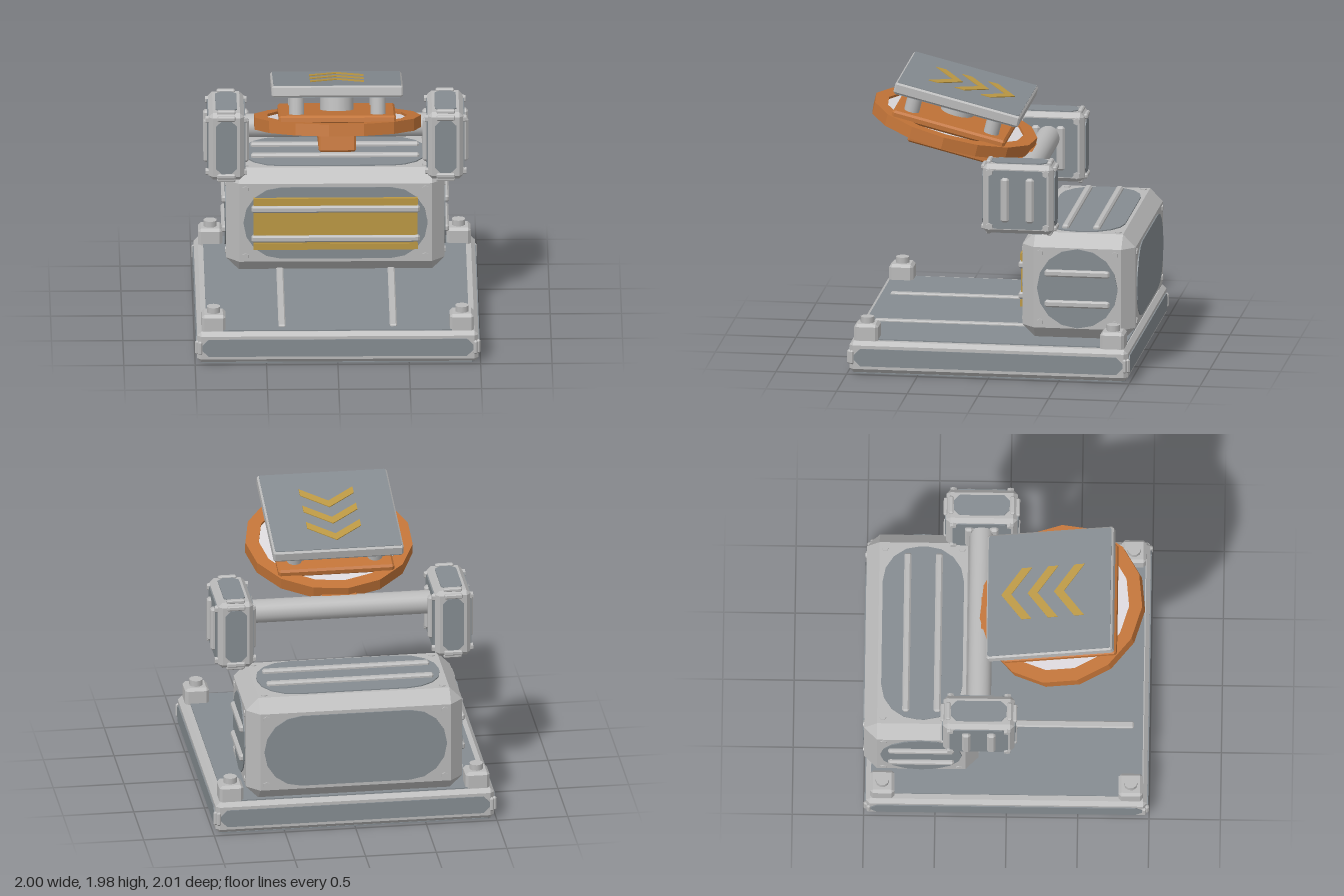
import * as THREE from 'three';
import { ConvexGeometry } from 'three/addons/geometries/ConvexGeometry.js';

const mat = (name, color) => {
  const m = new THREE.MeshStandardMaterial({ color });
  m.name = name;
  return m;
};

export function createModel() {
  const grey = mat('light grey metal', 0xbababa);
  const slate = mat('slate panel', 0x858c91);
  const orange = mat('orange paint', 0xc27438);
  const gold = mat('gold paint', 0xbb9844);
  const pale = mat('pale disc', 0xdcd8dc);

  const model = new THREE.Group();
  model.name = 'launchPad';

  const group = (parent, name, x = 0, y = 0, z = 0) => {
    const g = new THREE.Group();
    g.name = name;
    g.position.set(x, y, z);
    parent.add(g);
    return g;
  };
  const add = (parent, name, geo, material, x = 0, y = 0, z = 0) => {
    const m = new THREE.Mesh(geo, material);
    m.name = name;
    m.position.set(x, y, z);
    parent.add(m);
    return m;
  };

  // Box with flat chamfers on every edge
  const chamferBox = (w, h, d, c) => {
    const pts = [];
    for (const sx of [-1, 1]) for (const sy of [-1, 1]) for (const sz of [-1, 1]) {
      const x = w / 2, y = h / 2, z = d / 2;
      pts.push(new THREE.Vector3(sx * x, sy * (y - c), sz * (z - c)));
      pts.push(new THREE.Vector3(sx * (x - c), sy * y, sz * (z - c)));
      pts.push(new THREE.Vector3(sx * (x - c), sy * (y - c), sz * z));
    }
    return new ConvexGeometry(pts);
  };
  // Flat plate facing +z: corners cut (n = 1) or rounded with n steps
  const plate = (w, h, r, n, depth = 0.008) => {
    const s = new THREE.Shape(), pts = [];
    [[1, 1], [-1, 1], [-1, -1], [1, -1]].forEach(([sx, sy], q) => {
      for (let i = 0; i <= n; i++) {
        const a = (q + i / n) * Math.PI / 2;
        pts.push(new THREE.Vector2(sx * (w / 2 - r) + r * Math.cos(a), sy * (h / 2 - r) + r * Math.sin(a)));
      }
    });
    s.setFromPoints(pts);
    return new THREE.ExtrudeGeometry(s, { depth, bevelEnabled: false });
  };
  // Smooth or faceted post along y
  const post = (r, h, n) => {
    const g = new THREE.CylinderGeometry(r, r, h, n);
    return g;
  };
  // Small six-sided bolt facing +z
  const boltGeo = new THREE.CylinderGeometry(0.024, 0.028, 0.03, 6).toNonIndexed().rotateX(Math.PI / 2);
  boltGeo.computeVertexNormals();
  const bolts = (parent, dx, dy, z = 0.005) => {
    for (const sx of [-1, 1]) for (const sy of [-1, 1]) add(parent, 'bolt', boltGeo, grey, sx * dx, sy * dy, z);
  };
  // Calls fn for each box face with a group whose +z points outward
  const onFaces = (parent, w, h, d, fn) => {
    const P = Math.PI;
    [['front', w, h, d, 0, 0], ['back', w, h, d, 0, P], ['left', d, h, w, 0, P / 2],
      ['right', d, h, w, 0, -P / 2], ['top', w, d, h, -P / 2, 0], ['bottom', w, d, h, P / 2, 0],
    ].forEach(([name, fw, fh, depth, rx, ry]) => {
      const g = group(parent, name + 'Face');
      g.rotation.set(rx, ry, 0);
      fn(name, group(g, name + 'Details', 0, 0, depth / 2), fw, fh);
    });
  };

  // Base slab with framed side panels
  const base = group(model, 'base', 0, 0.125, 0);
  add(base, 'baseFrame', chamferBox(1.97, 0.225, 1.97, 0.028), grey);
  onFaces(base, 1.97, 0.225, 1.97, (name, g, w, h) => {
    if (name === 'top') add(g, 'deckPanel', plate(1.84, 1.9, 0.02, 1), slate);
    else if (name === 'bottom') add(g, 'undersidePanel', plate(1.92, 1.92, 0.02, 1), slate);
    else {
      add(g, 'sidePanel', plate(1.9, 0.125, 0.045, 1), slate);
      for (const s of [-1, 1]) add(g, 'sideCap', chamferBox(0.03, 0.1, 0.03, 0.01), grey, s * 0.965, 0, 0);
    }
  });
  for (const s of [-1, 1]) {
    add(base, 'deckRail', chamferBox(0.05, 0.03, 1.2, 0.008), grey, s * 0.39, 0.12, 0.285);
  }
  for (const sx of [-1, 1]) for (const sz of [-1, 1]) {
    const corner = group(base, 'cornerMount', sx * 0.87, 0.16, sz * 0.87);
    add(corner, 'cornerBlock', chamferBox(0.17, 0.14, 0.17, 0.02), grey);
    add(corner, 'cornerStud', post(0.048, 0.06, 10), grey, 0, 0.082);
  }

  // Motor housing
  const motor = group(model, 'motorHousing', 0, 0.62, -0.6);
  add(motor, 'housingBody', chamferBox(1.53, 0.76, 0.8, 0.09), grey);
  onFaces(motor, 1.53, 0.76, 0.8, (name, g, w, h) => {
    const wide = w > 1;
    if (name === 'bottom') return;
    add(g, 'housingPanel', plate(wide ? 1.29 : 0.57, wide && name !== 'top' ? 0.53 : 0.57, wide ? 0.262 : 0.283, 4), slate);
    bolts(g, w / 2 - 0.135, h / 2 - 0.13, -0.008);
    if (name === 'back') return;
    const front = name === 'front';
    if (front) {
      add(g, 'goldPlate', new THREE.BoxGeometry(1.15, 0.38, 0.03), gold, 0, 0, 0.01);
      for (const s of [-1, 1]) add(g, 'goldLip', new THREE.BoxGeometry(1.15, 0.045, 0.015), gold, 0, s * 0.168, 0.025);
    }
    for (const s of [-1, 1]) {
      add(g, 'housingBar', chamferBox(wide ? 1.18 : 0.46, 0.05, 0.05, 0.012), grey, 0, s * 0.11, front ? 0.018 : 0.008);
    }
  });

  // Pivot shaft and the pods at its ends
  const pivot = group(model, 'pivot', 0, 1.277, -0.195);
  add(pivot, 'shaft', post(0.083, 1.32, 24).rotateZ(Math.PI / 2), grey, 0, 0.075, 0);
  for (const sx of [-1, 1]) {
    const pod = group(pivot, 'shaftPod', sx * 0.768, 0, 0);
    add(pod, 'podBody', chamferBox(0.25, 0.495, 0.5, 0.03), grey);
    onFaces(pod, 0.25, 0.495, 0.5, (name, g, w, h) => {
      if (w > 0.4) {
        add(g, 'podSidePanel', plate(0.41, 0.42, 0.04, 1), slate);
        for (const s of [-1, 1]) add(g, 'podBar', chamferBox(0.06, 0.32, 0.06, 0.015), grey, s * 0.088, 0, 0.005);
        bolts(g, 0.2, 0.195);
      } else {
        add(g, 'podPanel', plate(0.15, 0.39, 0.04, 1), slate);
        for (const s of [-1, 1]) add(g, 'podTab', chamferBox(0.13, 0.035, 0.03, 0.008), grey, 0, s * 0.215, 0.003);
      }
    });
  }

  // Tilted launch head; local y = 0 is the top of the ring
  const head = group(model, 'launchHead', 0, 1.633, 0.37);
  head.rotation.x = -14 * Math.PI / 180;
  const circle = (r, n) => Array.from({ length: n }, (_, i) =>
    new THREE.Vector2(r * Math.cos(i * 2 * Math.PI / n), r * Math.sin(i * 2 * Math.PI / n)));
  const ringShape = new THREE.Shape(circle(0.59, 15));
  ringShape.holes.push(new THREE.Path(circle(0.495, 15)));
  add(head, 'ring', new THREE.ExtrudeGeometry(ringShape, { depth: 0.085, bevelEnabled: false })
    .rotateX(Math.PI / 2), orange);
  add(head, 'ringDisc', new THREE.ExtrudeGeometry(new THREE.Shape(circle(0.5, 15)), { depth: 0.06, bevelEnabled: false })
    .rotateX(Math.PI / 2), pale, 0, -0.018);
  add(head, 'lowerDeck', chamferBox(0.82, 0.06, 0.82, 0.015), orange, 0, 0.012, 0);
  add(head, 'supportBeam', chamferBox(0.26, 0.17, 0.89, 0.012), orange, 0, -0.143, -0.165);

  // Posts between the two decks
  add(head, 'centrePost', post(0.118, 0.16, 16), grey, 0, 0.115, 0);
  for (const sx of [-1, 1]) for (const sz of [-1, 1]) {
    add(head, 'deckPost', post(0.054, 0.16, 14), grey, sx * 0.285, 0.115, sz * 0.29);
  }

  // Upper deck with chevrons
  const deck = group(head, 'upperDeck', 0, 0.215, -0.02);
  add(deck, 'deckRim', chamferBox(0.92, 0.08, 0.91, 0.012), grey);
  for (const s of [-1, 1]) {
    const p = add(deck, s > 0 ? 'deckTop' : 'deckUnderside', plate(0.895, 0.885, 0.01, 1, 0.005), slate, 0, s * 0.039, 0);
    p.rotation.x = -s * Math.PI / 2;
  }
  const chevron = new THREE.Shape([[0, 0], [-0.19, -0.148], [-0.19, -0.22], [0, -0.072], [0.19, -0.22], [0.19, -0.148]]
    .map(([x, y]) => new THREE.Vector2(x, y)));
  const chevronGeo = new THREE.ExtrudeGeometry(chevron, { depth: 0.009, bevelEnabled: false }).rotateX(-Math.PI / 2);
  for (let i = 0; i < 3; i++) add(deck, 'chevron', chevronGeo, gold, 0, 0.041, -0.346 + i * 0.19);

  return model;
}
